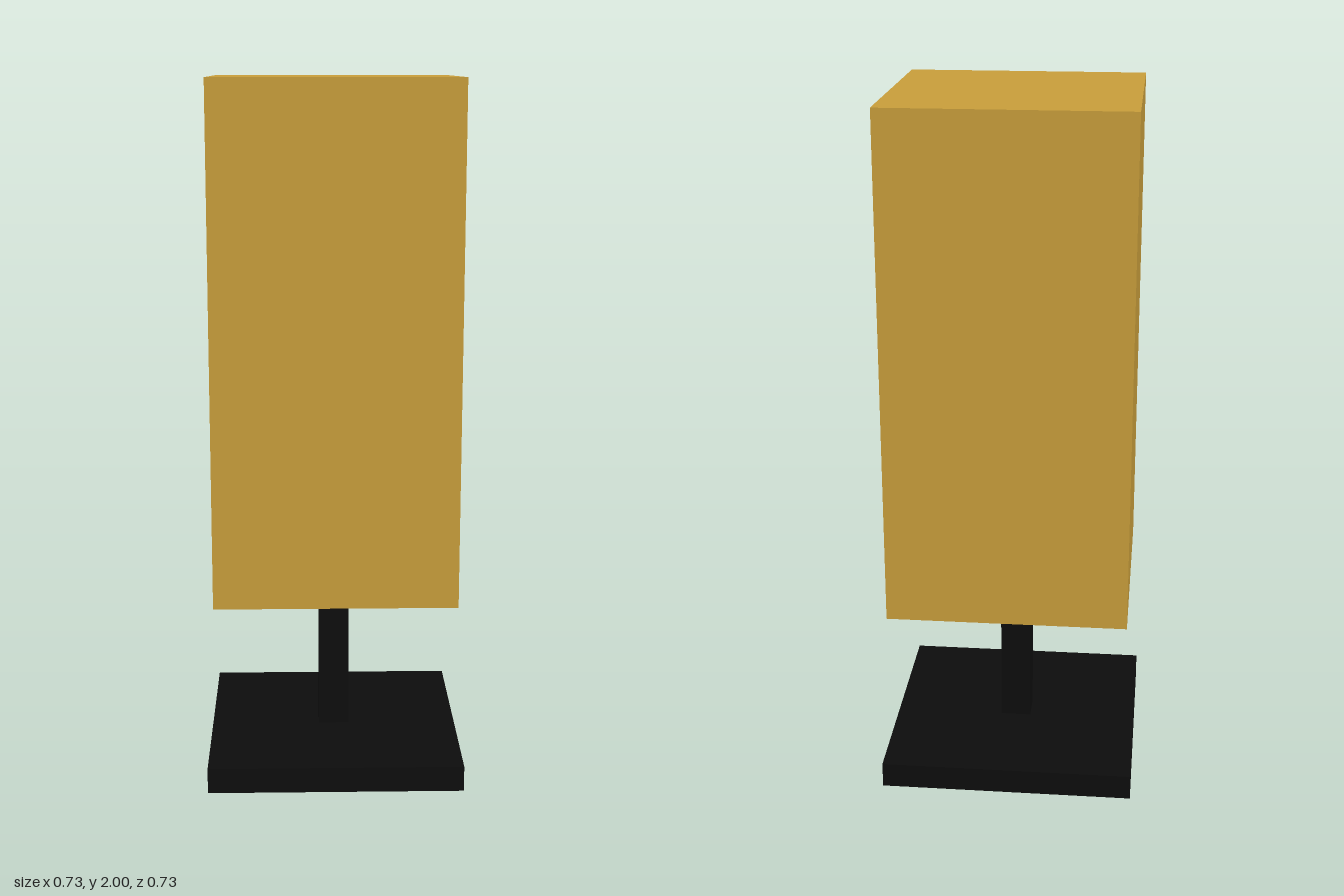
import * as THREE from 'three';

export function createModel() {
  const model = new THREE.Group();
  model.name = 'tableLamp';

  const ochre = new THREE.MeshStandardMaterial({ color: 0xc99e3b });
  ochre.name = 'ochre shade';
  const black = new THREE.MeshStandardMaterial({ color: 0x0d0d0d });
  black.name = 'black stand';

  // Square block centred on the vertical axis, from y0 up to y1
  const block = (name, width, y0, y1, material) => {
    const mesh = new THREE.Mesh(new THREE.BoxGeometry(width, y1 - y0, width), material);
    mesh.name = name;
    mesh.position.y = (y0 + y1) / 2;
    model.add(mesh);
  };

  block('base', 0.733, 0, 0.074, black);
  block('stem', 0.09, 0.074, 0.545, black);
  block('shade', 0.688, 0.545, 2, ochre);

  return model;
}
